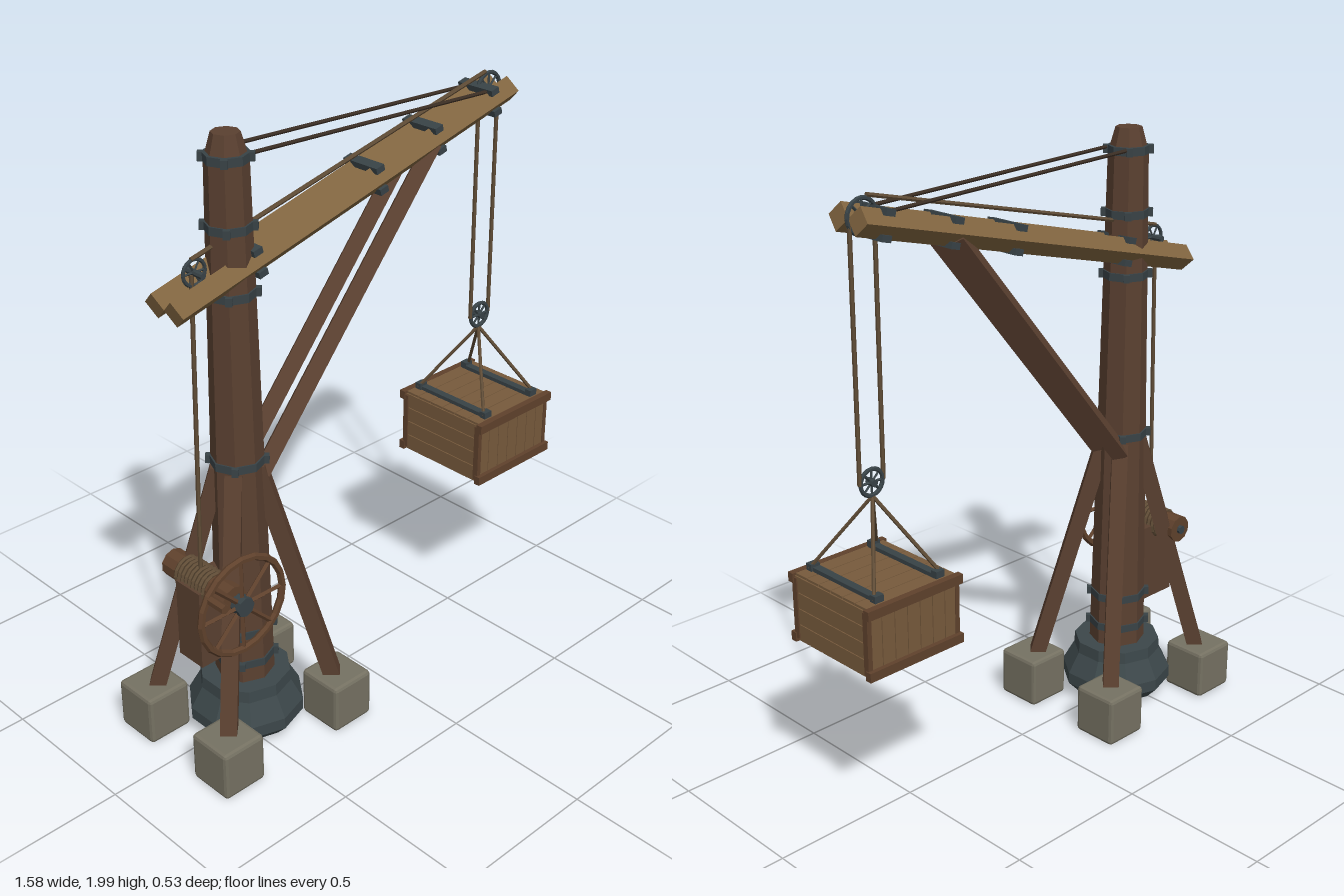
import * as THREE from 'three';
import { RoundedBoxGeometry } from 'three/addons/geometries/RoundedBoxGeometry.js';

const mat = (name, color) => {
  const m = new THREE.MeshStandardMaterial({ color, flatShading: true });
  m.name = name;
  return m;
};

export function createModel() {
  const M = {
    post: mat('dark timber', 0x5a4030),
    beam: mat('light timber', 0x80643f),
    plank: mat('crate plank', 0x775a3c),
    trim: mat('reddish timber', 0x5f412c),
    iron: mat('iron', 0x384246),
    base: mat('dark stone', 0x3c474a),
    stone: mat('stone', 0x757162),
    rope: mat('rope', 0x5e4b35),
    stay: mat('stay rope', 0x3b2e24),
  };
  const root = new THREE.Group();
  root.name = 'dockCrane';
  const V = (x, y, z) => new THREE.Vector3(x, y, z);
  const UP = V(0, 1, 0);

  const add = (name, geo, m, x = 0, y = 0, z = 0, parent = root) => {
    const mesh = new THREE.Mesh(geo, m);
    mesh.name = name;
    mesh.position.set(x, y, z);
    parent.add(mesh);
    return mesh;
  };
  const box = (name, m, w, h, d, x, y, z, parent) =>
    add(name, new THREE.BoxGeometry(w, h, d), m, x, y, z, parent);
  // Straight bar between two points
  const bar = (name, m, a, b, r, sides = 4, parent = root) => {
    const d = b.clone().sub(a);
    const mesh = add(name, new THREE.CylinderGeometry(r, r, d.length(), sides), m, 0, 0, 0, parent);
    mesh.position.copy(a).add(b).multiplyScalar(0.5);
    mesh.quaternion.setFromUnitVectors(UP, d.normalize());
    return mesh;
  };
  // Spoked wheel in the xy plane
  const wheel = (name, m, hubM, x, y, z, r, tube, spokes, hubR, hubLen) => {
    const g = new THREE.Group();
    g.name = name;
    g.position.set(x, y, z);
    root.add(g);
    add('rim', new THREE.TorusGeometry(r - tube, tube, 6, 20), m, 0, 0, 0, g);
    for (let i = 0; i < spokes; i++) {
      const t = (i / spokes) * Math.PI * 2;
      bar('spoke', m, V(0, 0, 0), V(Math.cos(t) * (r - tube), Math.sin(t) * (r - tube), 0), tube * 0.65, 4, g);
    }
    bar('hub', hubM, V(0, 0, -hubLen / 2), V(0, 0, hubLen / 2), hubR, 8, g);
    return g;
  };

  // Base and post
  const PX = -0.465;
  const profile = [[0, 0.03], [0.15, 0.03], [0.188, 0.07], [0.188, 0.11], [0.15, 0.18], [0.147, 0.22], [0, 0.22]];
  add('base', new THREE.LatheGeometry(profile.map(p => new THREE.Vector2(...p)), 10), M.base, PX);
  const postR = y => 0.095 - (y - 0.2) * 0.0178;
  add('post', new THREE.CylinderGeometry(postR(1.92), postR(0.2), 1.72, 8), M.post, PX, 1.06);
  add('postCap', new THREE.CylinderGeometry(0.042, postR(1.92), 0.08, 8), M.post, PX, 1.96);

  // Iron bands with bolts
  for (const y of [0.285, 0.395, 0.985, 1.53, 1.73, 1.93]) {
    const r = postR(y) + 0.005;
    add('postBand', new THREE.CylinderGeometry(r, r, 0.026, 8), M.iron, PX, y);
    for (let i = 0; i < 4; i++) {
      const t = (i / 4) * Math.PI * 2 + Math.PI / 4;
      const b = box('bandBolt', M.iron, 0.02, 0.026, 0.02, PX + Math.cos(t) * r, y, Math.sin(t) * r);
      b.rotation.y = -t;
    }
  }

  // Footing blocks and legs
  for (const sx of [-1, 1]) for (const sz of [-1, 1]) {
    add('footing', new RoundedBoxGeometry(0.157, 0.168, 0.16, 1, 0.012), M.stone, PX + sx * 0.23, 0.092, sz * 0.183);
    bar('leg', M.post, V(PX + sx * 0.225, 0.14, sz * 0.18), V(PX + sx * 0.045, 0.96, sz * 0.035), 0.037);
  }

  // Twin jib beams, braces and stays
  const A = V(-0.705, 1.545, 0), B = V(0.655, 1.89, 0);
  const slope = Math.atan2(B.y - A.y, B.x - A.x);
  for (const s of [-1, 1]) {
    const off = V(0, 0, s * 0.042);
    bar('jibBeam', M.beam, A.clone().add(off), B.clone().add(off), 0.042);
    bar('brace', M.post, V(-0.41, 0.93, s * 0.045), V(0.31, 1.79, s * 0.045), 0.035);
    bar('stayRope', M.stay, V(-0.42, 1.937, s * 0.045), V(0.575, 1.9, s * 0.045), 0.006, 6);
  }

  // Iron clamps across the jib
  for (const x of [-0.41, 0.07, 0.32, 0.57]) {
    const g = new THREE.Group();
    g.name = 'jibClamp';
    g.position.set(x, A.y + (x - A.x) * Math.tan(slope), 0);
    g.rotation.z = slope;
    root.add(g);
    for (const s of [-1, 1]) box('clampPlate', M.iron, 0.033, 0.02, 0.14, 0, s * 0.036, 0, g);
  }

  // Winch: bracket, drum with rope turns, hand wheel with crank peg
  const WX = -0.62, WY = 0.62;
  box('winchBracket', M.post, 0.17, 0.27, 0.11, -0.595, 0.485, 0);
  bar('drum', M.trim, V(WX, WY, -0.14), V(WX, WY, 0.15), 0.046, 10);
  bar('axle', M.iron, V(WX, WY, -0.15), V(WX, WY, 0.2), 0.015, 8);
  for (let i = 0; i < 9; i++)
    add('ropeTurn', new THREE.TorusGeometry(0.047, 0.007, 5, 14), M.rope, WX, WY, -0.07 + i * 0.016);
  const hand = wheel('handWheel', M.trim, M.iron, WX, WY, 0.185, 0.17, 0.012, 8, 0.032, 0.036);
  bar('crankPeg', M.trim, V(-0.125, 0.083, 0), V(-0.125, 0.083, 0.075), 0.015, 6, hand);

  // Pulleys and hoisting rope
  wheel('rearPulley', M.iron, M.iron, -0.595, 1.625, 0, 0.045, 0.006, 6, 0.01, 0.08);
  wheel('jibPulley', M.iron, M.iron, 0.608, 1.89, 0, 0.058, 0.007, 8, 0.012, 0.1);
  wheel('hookPulley', M.iron, M.iron, 0.608, 1.11, 0, 0.048, 0.007, 8, 0.012, 0.03);
  const rope = (a, b) => bar('hoistRope', M.rope, a, b, 0.007, 6);
  rope(V(-0.625, 0.66, 0), V(-0.605, 1.62, 0));
  rope(V(-0.605, 1.665, 0), V(0.59, 1.947, 0));
  for (const x of [0.564, 0.652]) rope(V(x, 1.11, 0), V(x, 1.88, 0));

  // Crate: slatted walls, planked lid and floor
  const crate = new THREE.Group();
  crate.name = 'crate';
  crate.position.set(0.607, 0.707, 0);
  root.add(crate);
  box('crateCore', M.trim, 0.325, 0.2, 0.325, 0, 0, 0, crate);
  for (const s of [-1, 1]) {
    for (let i = 0; i < 7; i++)
      box('wallSlat', M.plank, 0.045, 0.21, 0.012, (i - 3) * 0.048, 0, s * 0.166, crate);
    for (let i = 0; i < 4; i++)
      box('sidePlank', M.plank, 0.012, 0.05, 0.335, s * 0.166, (i - 1.5) * 0.053, 0, crate);
    for (let i = 0; i < 6; i++)
      box('lidPlank', M.plank, 0.335, 0.012, 0.053, 0, s * 0.106, (i - 2.5) * 0.056, crate);
    for (const y of [-1, 1])
      box('wallBatten', M.trim, 0.36, 0.03, 0.022, 0, y * 0.098, s * 0.176, crate);
    for (const z of [-1, 1])
      box('cornerBatten', M.trim, 0.016, 0.2, 0.02, s * 0.168, 0, z * 0.164, crate);
    // Lid straps with sling ropes
    box('lidStrap', M.iron, 0.026, 0.014, 0.31, s * 0.113, 0.118, 0, crate);
    for (const z of [-1, 1]) {
      box('slingLug', M.iron, 0.032, 0.022, 0.024, s * 0.116, 0.124, z * 0.148, crate);
      bar('slingRope', M.rope, V(s * 0.128, 0.12, z * 0.15), V(0, 0.36, 0), 0.006, 6, crate);
    }
  }
  return root;
}
